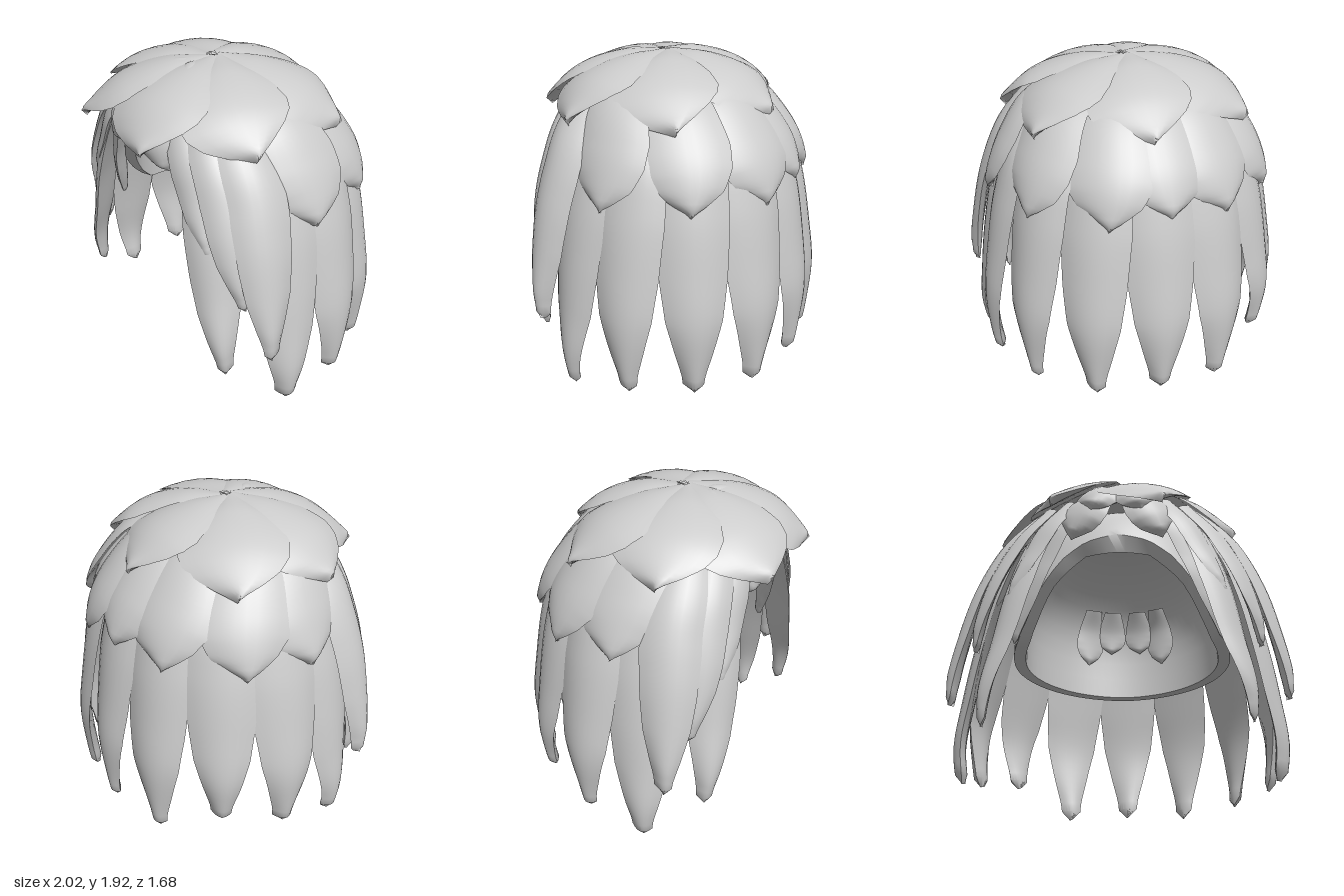
import * as THREE from 'three';
import { toCreasedNormals } from 'three/addons/utils/BufferGeometryUtils.js';

const hair = new THREE.MeshStandardMaterial({ color: 0xcccccc, side: THREE.DoubleSide });
hair.name = 'pale grey hair';

// Linear lookup in [[t, value], ...]
function lookup(table, t) {
  for (let i = 1; i < table.length; i++) {
    const [t0, v0] = table[i - 1], [t1, v1] = table[i];
    if (t <= t1) return v0 + (v1 - v0) * (t - t0) / (t1 - t0);
  }
  return table[table.length - 1][1];
}

// Point on the head plan: azimuth 0 is the front, 90 is +x, flatter at the back
function onHead(r, y, deg) {
  const a = THREE.MathUtils.degToRad(deg), c = Math.cos(a);
  const shift = 0.1 * THREE.MathUtils.smoothstep(y, 1.3, 1.9);
  return new THREE.Vector3(r * Math.sin(a), y, r * c * (c > 0 ? 0.945 : 0.88) + shift);
}

// Skin closed rings of points into a smooth mesh with crisp edges
function skin(name, rings) {
  const n = rings[0].length, index = [];
  for (let i = 0; i < rings.length - 1; i++) {
    for (let j = 0; j < n; j++) {
      const a = i * n + j, b = i * n + (j + 1) % n;
      index.push(a, a + n, b + n, a, b + n, b);
    }
  }
  const geo = new THREE.BufferGeometry().setFromPoints(rings.flat());
  geo.setIndex(index);
  const mesh = new THREE.Mesh(toCreasedNormals(geo, 0.8), hair);
  mesh.name = name;
  return mesh;
}

// Leaf-shaped lock following a [radius, y] path, sweeping from azimuth a0 to a1
function lock(name, { a0, a1 = a0, path, width, scale = 1, h = 0.04, tilt = 0, curl = 0.5 }) {
  const curve = new THREE.CatmullRomCurve3(path.map(([r, y]) => new THREE.Vector3(r, y, 0)));
  const at = (t) => {
    const p = curve.getPointAt(THREE.MathUtils.clamp(t, 0, 1));
    return onHead(p.x, p.y, a0 + (a1 - a0) * t);
  };
  const rings = [], steps = 32, m = 8;
  for (let i = 0; i <= steps; i++) {
    const t = i / steps, p = at(t), w = lookup(width, t) * scale;
    const deg = THREE.MathUtils.degToRad(a0 + (a1 - a0) * t);
    const along = at(Math.min(t + 0.02, 1)).sub(at(Math.max(t - 0.02, 0))).normalize();
    const normal = along.clone().cross(new THREE.Vector3(Math.cos(deg), 0, -Math.sin(deg))).normalize();
    const side = normal.clone().cross(along);
    const thick = Math.min(h, w * 0.7), ring = [];
    for (let k = 0; k < 2 * m; k++) {
      const outer = k <= m, u = outer ? -1 + 2 * k / m : 1 - 2 * (k - m) / m;
      const lift = thick * (1 - u * u) * (outer ? 1 : -0.6) - curl * (u * w) ** 2 + tilt * u;
      ring.push(p.clone().addScaledVector(side, u * w).addScaledVector(normal, lift));
    }
    rings.push(ring);
  }
  return skin(name, rings);
}

// Width profiles along a lock
const LONG = [[0, 0.16], [0.15, 0.2], [0.4, 0.212], [0.58, 0.195], [0.72, 0.165], [0.85, 0.108], [0.93, 0.07], [0.97, 0.062], [1, 0.006]];
const PETAL = [[0, 0.07], [0.2, 0.17], [0.42, 0.27], [0.6, 0.305], [0.72, 0.285], [0.82, 0.225], [0.91, 0.125], [0.96, 0.055], [1, 0.004]];
const BROAD = [[0, 0.15], [0.3, 0.22], [0.58, 0.265], [0.72, 0.25], [0.84, 0.19], [0.93, 0.09], [0.96, 0.045], [1, 0.004]];

// Hollow cap with an arched face opening and a thick sloping brow lip
function cap() {
  const outerRim = [[0, 1.46], [18, 1.42], [30, 1.33], [43, 1.16], [56, 1.0], [66, 0.9], [90, 0.86], [180, 0.84]];
  const innerRim = [[0, 1.36], [20, 1.35], [39, 1.2], [55, 1.0], [66, 0.9], [90, 0.86], [180, 0.84]];
  const row = (rim, s, top, size) => Array.from({ length: 72 }, (_, j) => {
    const deg = j * 5, low = lookup(rim, Math.min(deg, 360 - deg));
    const y = top - (top - low) * s * s;
    const r = size * Math.sqrt(Math.max(0, 1 - (Math.max(0, y - 1.1) / (top - 1.1)) ** 2));
    return onHead(r, y, deg);
  });
  const rings = [];
  for (let i = 0; i <= 14; i++) rings.push(row(outerRim, i / 14, 1.84, 0.69));
  for (let i = 14; i >= 0; i--) rings.push(row(innerRim, i / 14, 1.78, 0.615));
  return skin('cap', rings);
}

export function createModel() {
  const wig = new THREE.Group();
  wig.name = 'hair';
  wig.add(cap());

  // Long hanging locks round the back and sides: azimuth, tip height, tip radius
  const hang = [[180, 0.05, 0.89], [154.6, 0.02, 0.89], [-154.6, 0.02, 0.89], [127.5, 0.04, 0.89], [-127.5, 0.18, 0.89],
    [100, 0.05, 0.9], [-100, 0.1, 0.89], [75, 0.01, 0.935], [-75, 0.02, 0.935]];
  for (const [a0, tip, reach] of hang) {
    wig.add(lock('longLock', {
      a0, width: LONG, h: 0.045, tilt: 0.012,
      path: [[0.5, 1.69], [0.72, 1.45], [0.83, 1.15], [0.9, 0.8], [0.94, 0.5], [reach + 0.03, 0.22 + tip * 0.6], [reach, tip]],
    }));
  }

  for (const s of [-1, 1]) {
    // Layered locks framing the face
    wig.add(lock('templeLock', {
      a0: s * 42, a1: s * 52, width: LONG, scale: 0.75, h: 0.045, tilt: -0.01 * s, curl: 0.9,
      path: [[0.55, 1.68], [0.74, 1.42], [0.84, 1.1], [0.9, 0.75], [0.95, 0.48], [0.95, 0.25]],
    }));
    wig.add(lock('sideLock', {
      a0: s * 63, a1: s * 67, width: LONG, scale: 0.8, h: 0.05, tilt: -0.02 * s,
      path: [[0.57, 1.72], [0.81, 1.45], [0.94, 1.15], [1.02, 0.8], [1.05, 0.6], [1.06, 0.44]],
    }));
    wig.add(lock('cheekLock', {
      a0: s * 48, a1: s * 59, width: LONG, scale: 0.7, h: 0.045, tilt: -0.02 * s, curl: 0.8,
      path: [[0.58, 1.7], [0.79, 1.45], [0.9, 1.2], [0.955, 0.95], [0.97, 0.74]],
    }));
    wig.add(lock('browLock', {
      a0: s * 34, a1: s * 46, width: LONG, scale: 0.6, h: 0.04, tilt: -0.01 * s, curl: 0.8,
      path: [[0.54, 1.72], [0.72, 1.5], [0.81, 1.28], [0.88, 1.03]],
    }));
    // Strand along the edge of the face opening
    wig.add(lock('openingStrand', {
      a0: s * 29, a1: s * 55, width: LONG, scale: 0.55, h: 0.04,
      path: [[0.52, 1.7], [0.66, 1.5], [0.72, 1.25], [0.74, 1.02], [0.76, 0.82]],
    }));
    // Forehead fringe parting to each side
    wig.add(lock('fringe', {
      a0: s * 8, a1: s * 24, width: BROAD, scale: 0.6, h: 0.045,
      path: [[0.42, 1.78], [0.58, 1.69], [0.66, 1.56], [0.68, 1.42]],
    }));
    wig.add(lock('fringeTuft', {
      a0: s * 6, a1: s * 13, width: BROAD, scale: 0.55, h: 0.05,
      path: [[0.4, 1.8], [0.6, 1.71], [0.69, 1.57]],
    }));
    // Short locks lining the inside of the cap at the back
    for (const [deg, tip] of [[154, 1.06], [170, 1.16]]) {
      wig.add(lock('liningLock', {
        a0: s * deg, width: BROAD, scale: 0.38, h: 0.03,
        path: [[0.5, 1.45], [0.56, 1.3], [0.585, tip]],
      }));
    }
  }

  // Middle tier of broad petals
  const middle = [[88, 1.15], [-88, 1.17], [126, 1.15], [-118, 1.15], [160, 1.14], [-152, 1.16], [184, 1.2]];
  for (const [a0, tip] of middle) {
    wig.add(lock('middlePetal', {
      a0, width: BROAD, h: 0.04, tilt: a0 === 184 ? 0 : 0.02,
      path: [[0.35, 1.8], [0.6, 1.69], [0.76, 1.48], [0.84, 1.3], [0.875, tip]],
    }));
  }

  // Crown whorl: azimuth, reach, tip height
  const crown = [[-27, 0.86, 1.58], [20, 0.84, 1.57], [68, 0.79, 1.59], [124, 0.77, 1.59],
    [180, 0.76, 1.6], [-123, 0.78, 1.59], [-74, 0.79, 1.59]];
  for (const [a, reach, tip] of crown) {
    wig.add(lock('crownPetal', {
      a0: a - 8, a1: a, width: PETAL, scale: 1.04, h: 0.035, tilt: 0.025, curl: 0.4,
      path: [[0.02, 1.885], [0.28, 1.87], [0.56, 1.78], [reach, tip]],
    }));
  }
  for (const s of [-1, 1]) {
    wig.add(lock('crownTuft', {
      a0: s * 4, a1: s * 28, width: BROAD, scale: 0.2, h: 0.02,
      path: [[0.1, 1.88], [0.2, 1.9], [0.34, 1.87]],
    }));
  }
  const knob = new THREE.Mesh(new THREE.SphereGeometry(0.03, 16, 10), hair);
  knob.name = 'crownKnob';
  knob.position.set(0, 1.885, 0.1);
  wig.add(knob);

  // Centre and stand on the ground
  const box = new THREE.Box3().setFromObject(wig, true), mid = box.getCenter(new THREE.Vector3());
  wig.position.set(-mid.x, -box.min.y, -mid.z);
  const model = new THREE.Group();
  model.add(wig);
  return model;
}
